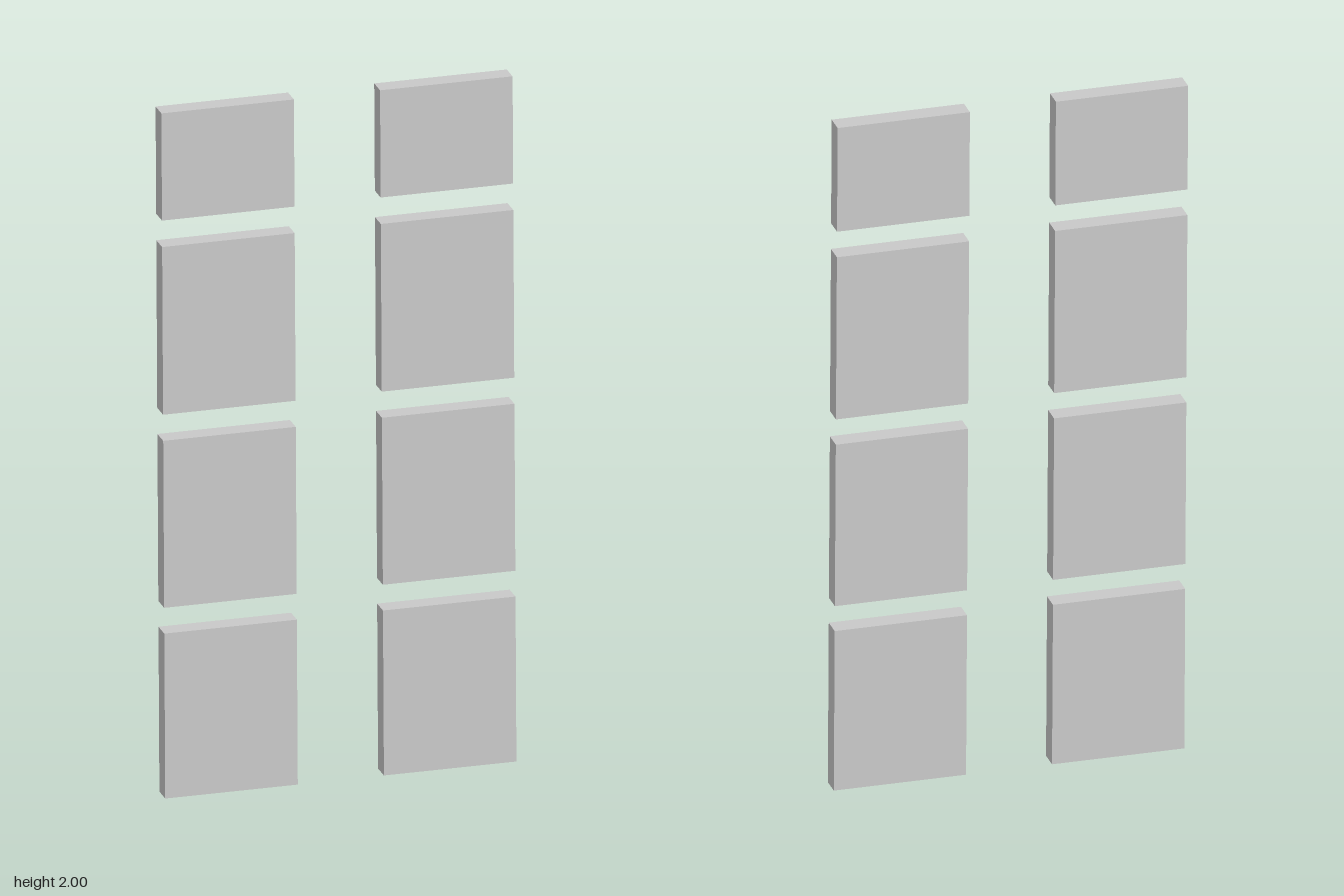
import * as THREE from 'three';

export function createModel() {
  const model = new THREE.Group();
  model.name = 'panelSet';
  const material = new THREE.MeshStandardMaterial({ color: 0xcccccc, flatShading: true });

  const width = 0.377, depth = 0.057, columnX = 0.311;
  // Bottom and top height of each row
  const rows = [[0.003, 0.483], [0.558, 1.044], [1.12, 1.608], [1.685, 1.997]];

  // Pivot at mid height, so the whole set can lean very slightly
  const panels = new THREE.Group();
  panels.name = 'panels';
  panels.position.y = 1;
  panels.rotation.z = 0.0055;
  model.add(panels);

  // Two columns of flat rectangular panels
  for (const [side, sign] of [['left', 1], ['right', -1]]) {
    rows.forEach(([bottom, top], i) => {
      const panel = new THREE.Mesh(new THREE.BoxGeometry(width, top - bottom, depth), material);
      panel.name = `${side}Panel${i + 1}`;
      panel.position.set(sign * columnX, (bottom + top) / 2 - 1, 0);
      panels.add(panel);
    });
  }
  return model;
}
